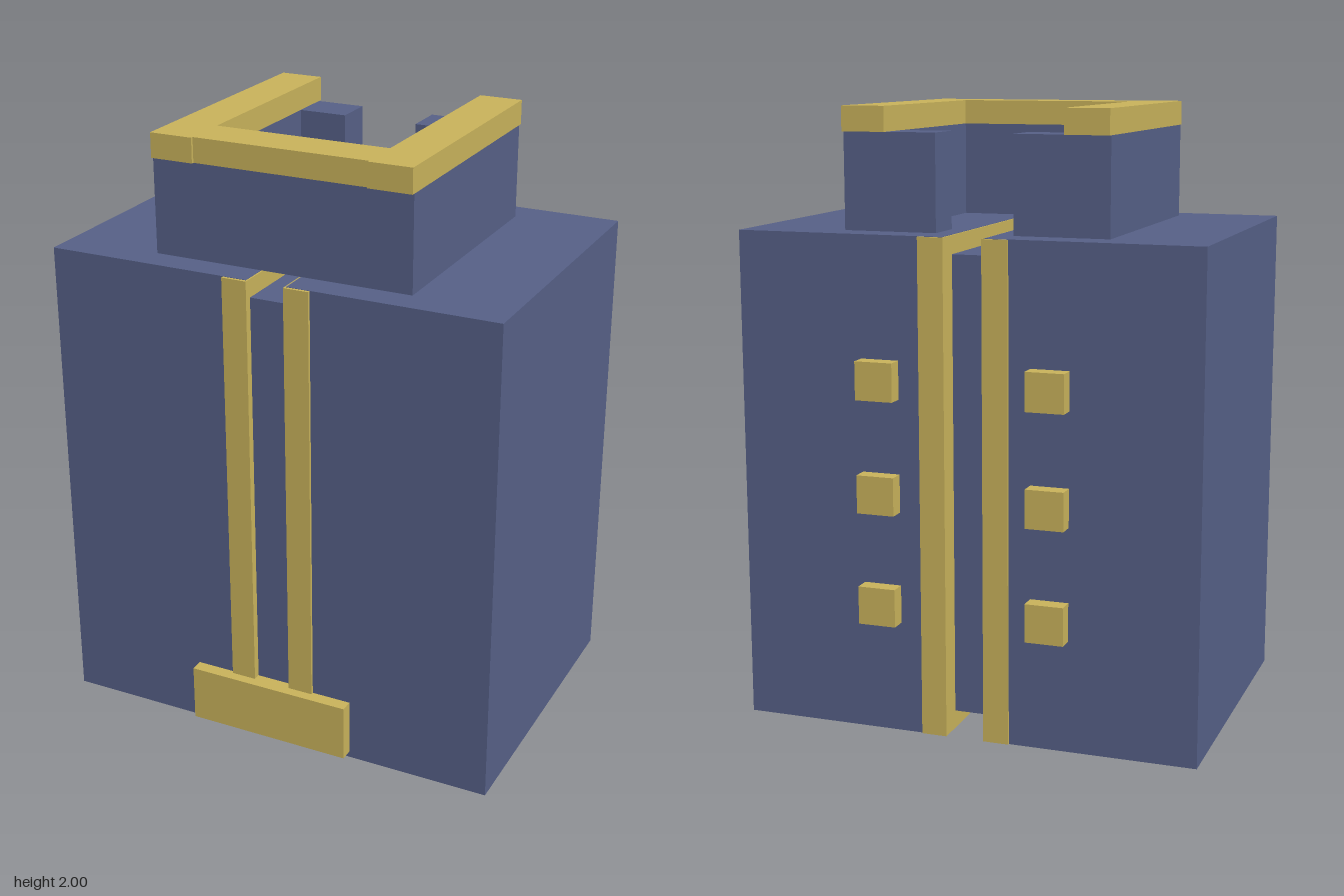
import * as THREE from 'three';

export function createModel() {
  const model = new THREE.Group();
  model.name = 'slottedTower';

  const blue = new THREE.MeshStandardMaterial({ color: 0x566087 });
  blue.name = 'slate blue';
  const gold = new THREE.MeshStandardMaterial({ color: 0xc9b35b });
  gold.name = 'gold';

  // Box given by its lower and upper limits on each axis
  function box(name, material, [x0, x1], [y0, y1], [z0, z1]) {
    const mesh = new THREE.Mesh(new THREE.BoxGeometry(x1 - x0, y1 - y0, z1 - z0), material);
    mesh.position.set((x0 + x1) / 2, (y0 + y1) / 2, (z0 + z1) / 2);
    mesh.name = name;
    model.add(mesh);
  }

  // Same box on the left (+x) and right (-x)
  function pair(name, material, [x0, x1], y, z) {
    box(name + 'Left', material, [x0, x1], y, z);
    box(name + 'Right', material, [-x1, -x0], y, z);
  }

  // Body halves with a recessed core in the slot between them
  pair('bodyHalf', blue, [0.068, 0.76], [0, 1.61], [-0.516, 0.527]);
  box('slotCore', blue, [-0.066, 0.066], [0.06, 1.55], [-0.444, 0.512]);

  // Gold slabs lining the slot, just shy of the body's top and bottom
  pair('slotTrim', gold, [0.063, 0.147], [0.001, 1.609], [-0.524, 0.537]);

  // Base plate on the front
  box('frontPlate', gold, [-0.28, 0.28], [0.02, 0.21], [0.512, 0.57]);

  // U-shaped collar, open at the back between two posts
  pair('collarSide', blue, [0.293, 0.437], [1.61, 1.92], [-0.414, 0.43]);
  box('collarFront', blue, [-0.293, 0.293], [1.61, 1.92], [0.284, 0.43]);
  pair('collarPost', blue, [0.128, 0.293], [1.61, 1.92], [-0.414, -0.278]);

  // Gold rim on the collar
  pair('rimSide', gold, [0.293, 0.437], [1.92, 2], [-0.429, 0.441]);
  box('rimFront', gold, [-0.293, 0.293], [1.92, 2], [0.284, 0.432]);

  // Two columns of studs on the back
  for (const y of [0.365, 0.73, 1.095]) {
    pair('backStud', gold, [0.218, 0.343], [y, y + 0.124], [-0.57, -0.51]);
  }

  return model;
}
